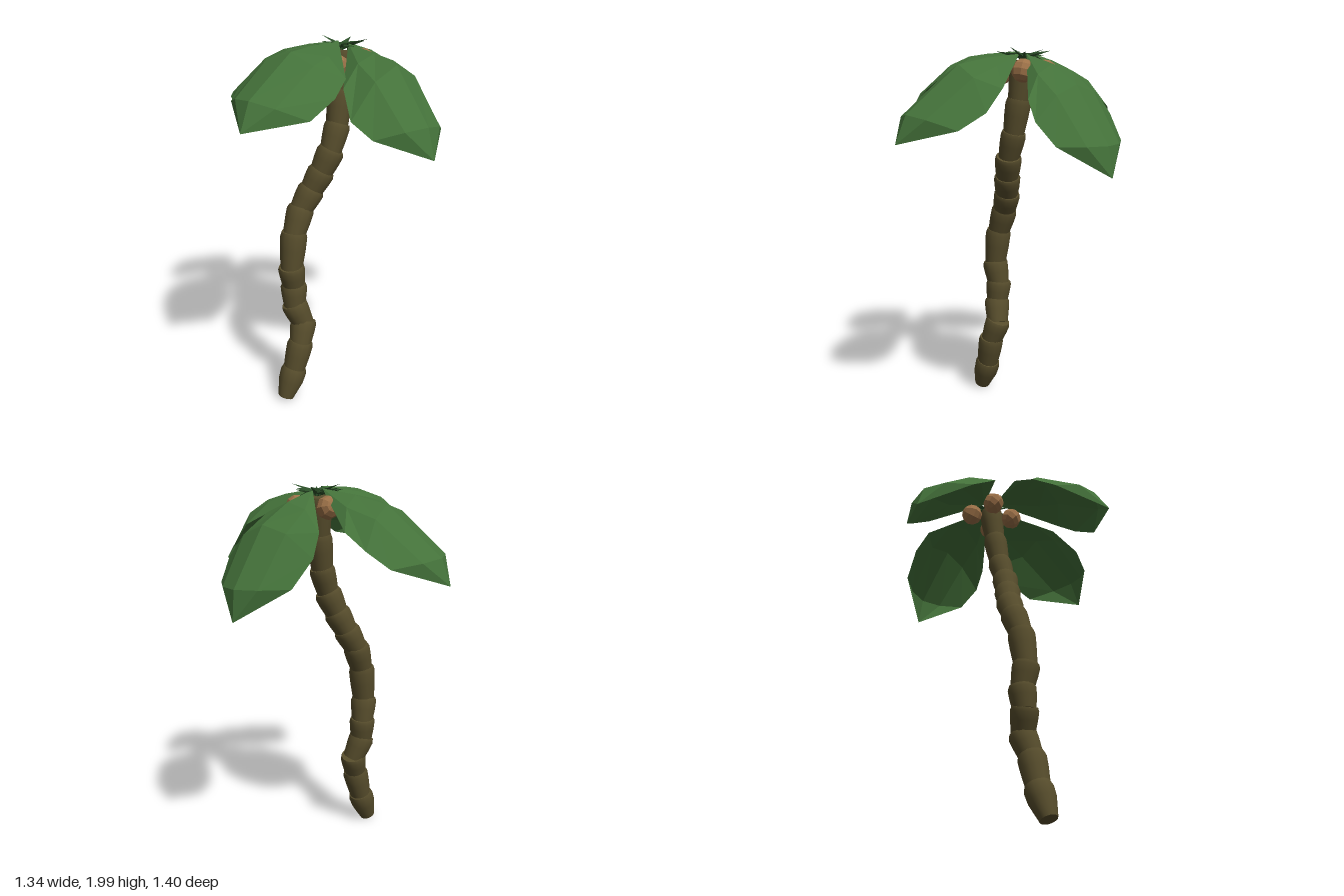
import * as THREE from 'three';

const V = (p) => new THREE.Vector3(...p);

const bark = new THREE.MeshStandardMaterial({ color: 0x574d2c });
bark.name = 'bark brown';
const leafGreen = new THREE.MeshStandardMaterial({ color: 0x44723a, side: THREE.DoubleSide, flatShading: true });
leafGreen.name = 'leaf green';
const darkGreen = new THREE.MeshStandardMaterial({ color: 0x2c5029, side: THREE.DoubleSide, flatShading: true });
darkGreen.name = 'dark green';
const nutBrown = new THREE.MeshStandardMaterial({ color: 0x9c7148, flatShading: true });
nutBrown.name = 'coconut brown';

// Joints of the bent trunk, from the ground up
const JOINTS = [
  [-0.34, 0.02, -0.015], [-0.28, 0.17, -0.015], [-0.235, 0.33, -0.01], [-0.195, 0.445, -0.03],
  [-0.235, 0.56, -0.055], [-0.23, 0.67, -0.065], [-0.25, 0.79, -0.055], [-0.225, 0.98, -0.06],
  [-0.175, 1.11, -0.065], [-0.12, 1.21, -0.045], [-0.075, 1.31, -0.015], [-0.03, 1.42, 0.01],
  [0.015, 1.55, 0.01], [0.045, 1.72, 0.0], [0.065, 1.91, -0.015],
];

// Each leaf: base, tip, then three stations of ridge and both edges
const LEAVES = [
  {
    name: 'leftLeaf', base: [0.1, 1.965, -0.01], tip: [0.67, 1.38, -0.08],
    ridge: [[0.28, 1.91, -0.03], [0.45, 1.81, -0.04], [0.65, 1.53, -0.07]],
    a: [[0.38, 1.74, 0.195], [0.46, 1.64, 0.215], [0.55, 1.53, 0.165]],
    b: [[0.32, 1.78, -0.29], [0.39, 1.67, -0.325], [0.5, 1.54, -0.3]],
  },
  {
    name: 'rightLeaf', base: [0.04, 1.98, -0.01], tip: [-0.67, 1.66, 0.18],
    ridge: [[-0.18, 1.975, 0.04], [-0.31, 1.965, 0.07], [-0.6, 1.79, 0.15]],
    a: [[-0.3, 1.87, -0.17], [-0.44, 1.8, -0.17], [-0.54, 1.74, -0.1]],
    b: [[-0.18, 1.86, 0.31], [-0.28, 1.79, 0.355], [-0.42, 1.71, 0.355]],
  },
  {
    name: 'frontLeaf', base: [0.08, 1.965, 0.02], tip: [0.01, 1.53, 0.7],
    ridge: [[0.075, 1.94, 0.22], [0.07, 1.905, 0.38], [0.02, 1.67, 0.645]],
    a: [[-0.17, 1.81, 0.28], [-0.235, 1.69, 0.41], [-0.2, 1.62, 0.52]],
    b: [[0.295, 1.79, 0.28], [0.305, 1.68, 0.38], [0.26, 1.6, 0.505]],
  },
  {
    name: 'backLeaf', base: [0.08, 1.97, -0.06], tip: [-0.14, 1.53, -0.7],
    ridge: [[0.03, 1.94, -0.24], [-0.02, 1.9, -0.4], [-0.125, 1.66, -0.655]],
    a: [[0.225, 1.78, -0.36], [0.21, 1.7, -0.48], [0.14, 1.62, -0.57]],
    b: [[-0.25, 1.85, -0.27], [-0.305, 1.76, -0.36], [-0.315, 1.67, -0.48]],
  },
];

// One tapered trunk ring with a rounded shoulder, set between two joints
function trunkSegment(from, to, index) {
  const dir = to.clone().sub(from);
  const len = dir.length() + 0.02;
  const r = index > 10 ? 0.068 : 0.073;
  const low = index === 0 ? 0.045 : r * 0.82;
  const profile = [[0, 0], [low, 0], [low, 0], [r * 0.96, len * 0.55], [r, len * 0.86], [r * 0.9, len], [r * 0.9, len], [0, len]];
  const mesh = new THREE.Mesh(
    new THREE.LatheGeometry(profile.map(([x, y]) => new THREE.Vector2(x, y)), 14), bark);
  mesh.position.copy(from);
  mesh.quaternion.setFromUnitVectors(new THREE.Vector3(0, 1, 0), dir.normalize());
  mesh.name = 'trunkSegment';
  return mesh;
}

// Arched leaf: five points across each station, fanned to the base and tip
function leafGeometry({ base, tip, ridge, a, b }) {
  const rows = ridge.map((point, i) => {
    const mid = V(point), left = V(a[i]), right = V(b[i]);
    const arch = mid.clone().sub(left.clone().lerp(right, 0.5)).multiplyScalar(0.22);
    return [left, left.clone().lerp(mid, 0.5).add(arch), mid, right.clone().lerp(mid, 0.5).add(arch), right];
  });
  const start = V(base), end = V(tip), points = [];
  for (let c = 0; c < 4; c++) {
    points.push(start, rows[0][c], rows[0][c + 1]);
    for (let r = 0; r < 2; r++) {
      const p = rows[r], q = rows[r + 1];
      points.push(p[c], q[c], p[c + 1], p[c + 1], q[c], q[c + 1]);
    }
    points.push(rows[2][c], end, rows[2][c + 1]);
  }
  const geometry = new THREE.BufferGeometry().setFromPoints(points);
  geometry.computeVertexNormals();
  return geometry;
}

export function createModel() {
  const model = new THREE.Group();
  model.name = 'palmTree';

  const trunk = new THREE.Group();
  trunk.name = 'trunk';
  for (let i = 0; i < JOINTS.length - 1; i++) {
    trunk.add(trunkSegment(V(JOINTS[i]), V(JOINTS[i + 1]), i));
  }
  model.add(trunk);

  const crown = new THREE.Group();
  crown.name = 'crown';
  for (const leaf of LEAVES) {
    const mesh = new THREE.Mesh(leafGeometry(leaf), leafGreen);
    mesh.name = leaf.name;
    crown.add(mesh);
  }
  model.add(crown);

  // Small spiky blades in the middle of the crown
  const sprout = new THREE.Group();
  sprout.name = 'sprout';
  sprout.position.set(0.07, 1.95, -0.015);
  const blade = new THREE.ConeGeometry(0.02, 0.14, 4).translate(0, 0.07, 0).scale(1, 1, 0.5);
  for (let i = 0; i < 11; i++) {
    const mesh = new THREE.Mesh(blade, darkGreen);
    const angle = (i / 11) * Math.PI * 2;
    const dir = new THREE.Vector3(Math.cos(angle), 0.1 + 0.1 * (i % 3), Math.sin(angle)).normalize();
    mesh.quaternion.setFromUnitVectors(new THREE.Vector3(0, 1, 0), dir);
    mesh.scale.y = i % 2 ? 0.8 : 1.05;
    mesh.name = 'sproutBlade';
    sprout.add(mesh);
  }
  model.add(sprout);

  // Coconuts hanging under the leaves
  const nuts = new THREE.Group();
  nuts.name = 'coconuts';
  const nut = new THREE.SphereGeometry(0.06, 8, 6);
  [[-0.06, 1.88, -0.11], [0.11, 1.88, -0.13], [0.15, 1.88, 0.05], [-0.03, 1.87, 0.06]].forEach((p, i) => {
    const mesh = new THREE.Mesh(nut, nutBrown);
    mesh.position.set(...p);
    mesh.rotation.set(0.5 + i, i * 0.8, 0.4);
    mesh.name = 'coconut';
    nuts.add(mesh);
  });
  model.add(nuts);

  return model;
}
